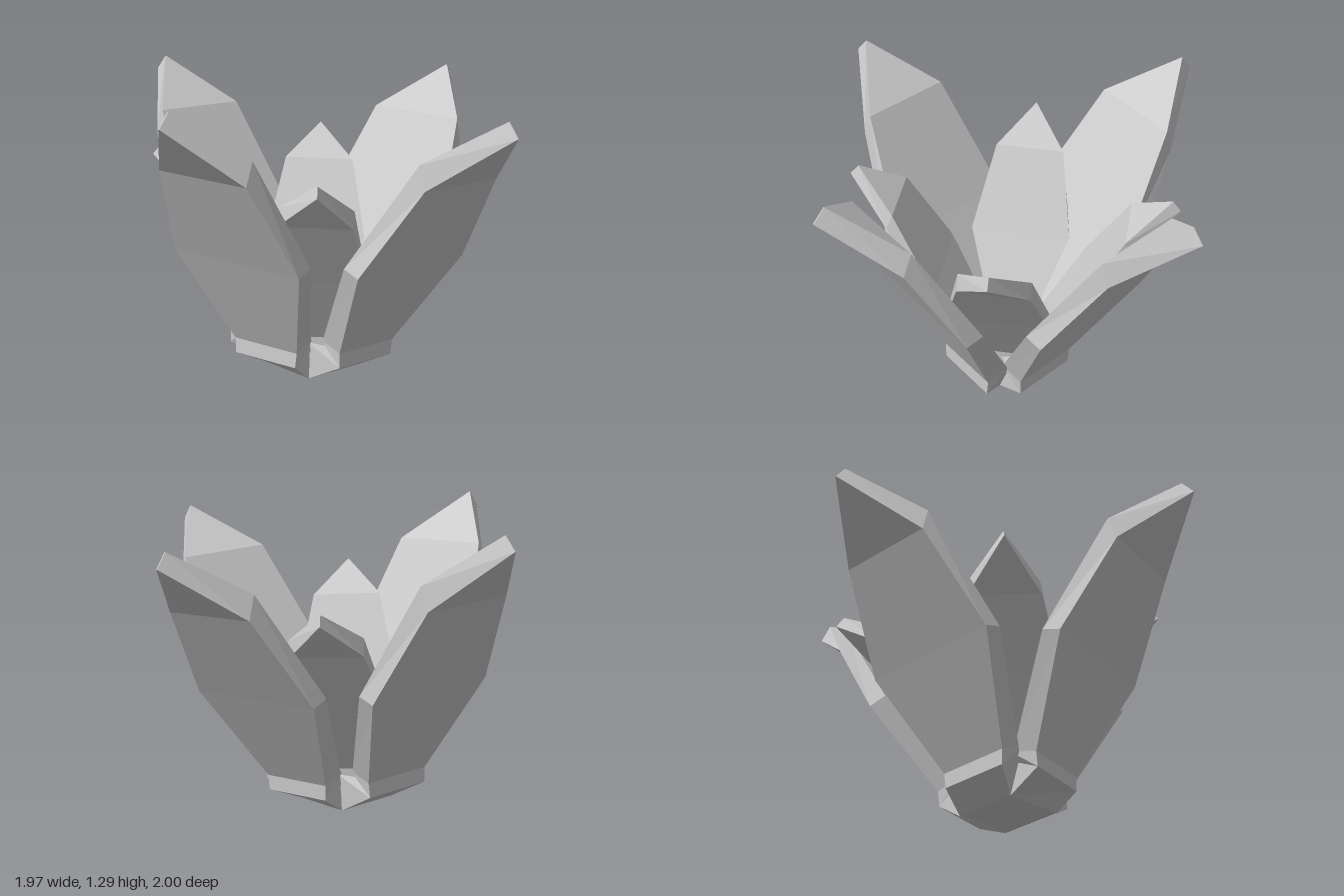
import * as THREE from 'three';

const material = new THREE.MeshStandardMaterial({ color: 0xcccccc, flatShading: true, side: THREE.DoubleSide });

// Petal stations from root to tip: half width, outer [radius, y], inner [radius, y]
const STATIONS = [
  [0.14, [0.14, 0.009], [0.13, 0.165]],
  [0.155, [0.27, 0.08], [0.15, 0.175]],
  [0.16, [0.27, 0.145], [0.17, 0.185]],
  [0.315, [0.5, 0.55], [0.42, 0.575]],
  [0.215, [0.735, 0.94], [0.7, 1.04]],
  [0.002, [1.0, 1.17], [0.95, 1.23]],
];
const PIVOT = 0.25;

// Thick faceted petal leaning toward +z; the blade can slide sideways or twist about its root
function petalGeometry(shift, twist) {
  const c = Math.cos(twist), s = Math.sin(twist);
  const rings = STATIONS.map(([half, outer, inner], i) =>
    [[-half, outer], [half, outer], [half, inner], [-half, inner]].map(([t, [r, y]]) => {
      if (i === 0) return [t, y, r];
      return [t * c + (r - PIVOT) * s + shift, y, PIVOT + (r - PIVOT) * c - t * s];
    }));
  const pos = [];
  const quad = (a, b, d, e) => pos.push(...a, ...b, ...d, ...a, ...d, ...e);
  for (let i = 0; i < rings.length - 1; i++) {
    for (let k = 0; k < 4; k++) {
      const n = (k + 1) % 4;
      quad(rings[i][k], rings[i][n], rings[i + 1][n], rings[i + 1][k]);
    }
  }
  const root = rings[0], tip = rings[rings.length - 1];
  quad(root[3], root[2], root[1], root[0]);
  quad(tip[0], tip[1], tip[2], tip[3]);
  const geometry = new THREE.BufferGeometry();
  geometry.setAttribute('position', new THREE.Float32BufferAttribute(pos, 3));
  geometry.computeVertexNormals();
  return geometry;
}

export function createModel() {
  const model = new THREE.Group();
  model.name = 'flower';

  // The whole bloom leans a little to one side
  const bloom = new THREE.Group();
  bloom.name = 'bloom';
  bloom.position.x = -0.07;
  bloom.rotation.z = THREE.MathUtils.degToRad(-3.6);
  model.add(bloom);

  const add = (name, geometry, angle) => {
    const mesh = new THREE.Mesh(geometry, material);
    mesh.name = name;
    mesh.rotation.y = angle;
    bloom.add(mesh);
    return mesh;
  };

  // Outer petals: front and back slide sideways, left and right twist
  const slid = petalGeometry(0.065, 0);
  const twisted = petalGeometry(0, THREE.MathUtils.degToRad(11));
  for (let i = 0; i < 4; i++) {
    add('outerPetal' + (i + 1), i % 2 ? twisted : slid, i * Math.PI / 2);
  }

  // Inner petals: smaller, raised, set on the diagonals
  const straight = petalGeometry(0, 0);
  for (let i = 0; i < 4; i++) {
    const petal = add('innerPetal' + (i + 1), straight, (i + 0.5) * Math.PI / 2);
    petal.scale.setScalar(0.7);
    petal.position.y = 0.09;
  }

  // Square base and the floor between the inner petals
  add('base', new THREE.BoxGeometry(0.278, 0.15, 0.278).translate(0, 0.085, 0), 0);
  add('flowerCenter', new THREE.BoxGeometry(0.19, 0.1, 0.19).translate(0, 0.155, 0), Math.PI / 4);

  return model;
}
